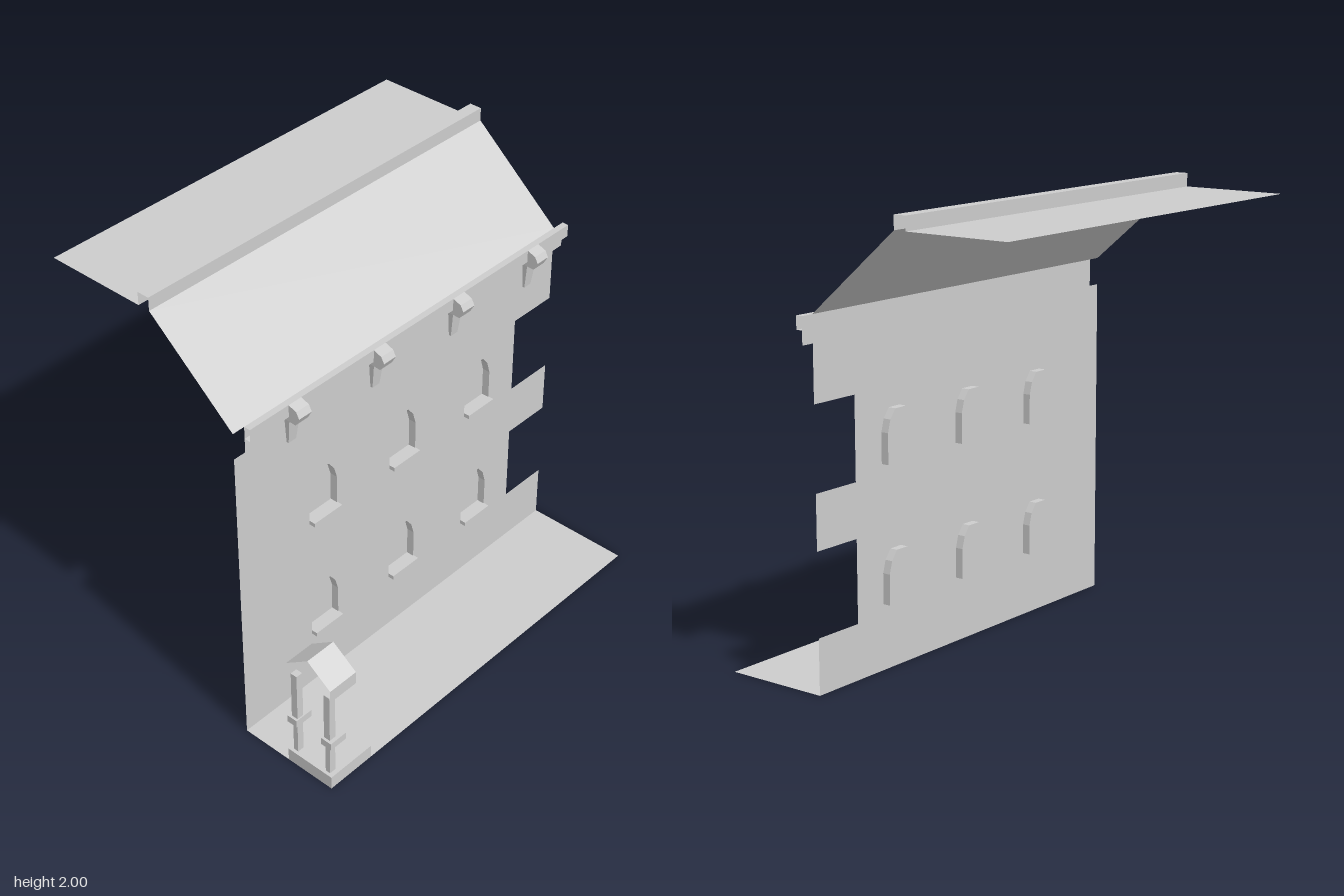
import * as THREE from 'three';

const stone = new THREE.MeshStandardMaterial({ color: 0xcccccc, side: THREE.DoubleSide });
stone.name = 'paleGrey';

const WALL_X = 0.24, FRONT = 1, BACK = -0.94;

function add(parent, name, geometry) {
  const mesh = new THREE.Mesh(geometry, stone);
  mesh.name = name;
  parent.add(mesh);
  return mesh;
}

function box(parent, name, x0, x1, y0, y1, z0, z1) {
  const g = new THREE.BoxGeometry(x1 - x0, y1 - y0, z1 - z0);
  g.translate((x0 + x1) / 2, (y0 + y1) / 2, (z0 + z1) / 2);
  return add(parent, name, g);
}

// Open ribbon: sweeps a polyline in x,y from z0 to z1, flat faces
function ribbon(points, z0, z1) {
  const pos = [];
  for (let i = 0; i < points.length - 1; i++) {
    const [ax, ay] = points[i], [bx, by] = points[i + 1];
    pos.push(ax, ay, z0, ax, ay, z1, bx, by, z1);
    pos.push(ax, ay, z0, bx, by, z1, bx, by, z0);
  }
  const g = new THREE.BufferGeometry();
  g.setAttribute('position', new THREE.Float32BufferAttribute(pos, 3));
  g.computeVertexNormals();
  return g;
}

const toVectors = (pts) => pts.map(([x, y]) => new THREE.Vector2(x, y));

// Turns a drawing in (-z, y) into the wall plane, its depth running along +x
const ontoWall = (g) => g.rotateY(Math.PI / 2).translate(WALL_X, 0, 0);

// Arched window outline around z, with its base at y
function arch(z, y) {
  const half = [[0.082, 0], [0.082, 0.135], [0.066, 0.19], [0.034, 0.232]];
  const left = half.map(([s, h]) => [-s, h]).reverse();
  return [...half, ...left].map(([s, h]) => [s - z, y + h]);
}

// Bracket under the gutter: chunky head and tapering tail
function bracket(z) {
  const group = new THREE.Group();
  group.name = 'gutterBracket';
  const head = new THREE.Shape(toVectors([
    [0.24, 1.5], [0.304, 1.497], [0.325, 1.535], [0.31, 1.563], [0.27, 1.577], [0.24, 1.577],
  ]));
  add(group, 'bracketHead', new THREE.ExtrudeGeometry(head, { depth: 0.07, bevelEnabled: false })
    .translate(0, 0, -0.035));
  const tail = new THREE.BoxGeometry(0.027, 0.125, 0.06).translate(0.2535, 1.4375, 0);
  const p = tail.attributes.position;
  for (let i = 0; i < p.count; i++) {
    if (p.getY(i) < 1.44) {
      p.setZ(i, p.getZ(i) * 0.7);
      if (p.getX(i) > 0.25) p.setX(i, 0.251);
    }
  }
  tail.computeVertexNormals();
  add(group, 'bracketTail', tail);
  group.position.z = z;
  return group;
}

// Small gabled porch on two posts
function porch() {
  const group = new THREE.Group();
  group.name = 'porch';
  box(group, 'porchBase', 0.484, 0.725, 0, 0.063, 0.76, 1);
  const gable = [[0.725, 0.49], [0.725, 0.55], [0.603, 0.637], [0.484, 0.55], [0.484, 0.49]];
  add(group, 'porchRoof', ribbon(gable, 0.85, 1));
  add(group, 'porchGable', new THREE.ShapeGeometry(new THREE.Shape(toVectors(gable)))
    .rotateY(0).translate(0, 0, 0.85));
  [[0.513, 0.484, 0.535], [0.692, 0.67, 0.725]].forEach(([x, c0, c1]) => {
    box(group, 'lowerPost', x - 0.012, x + 0.012, 0.063, 0.23, 0.953, 0.985);
    box(group, 'upperPost', x - 0.016, x + 0.016, 0.25, 0.492, 0.955, 0.988);
    box(group, 'postCollar', c0, c1, 0.222, 0.256, 0.912, 1);
  });
  return group;
}

export function createModel() {
  const model = new THREE.Group();
  model.name = 'buildingFacade';

  // Pavement
  add(model, 'pavement', ribbon([[0.725, 0], [WALL_X, 0]], BACK, FRONT));

  // Wall with a toothed back edge and a shifted top course
  const wall = new THREE.Shape(toVectors([
    [-1, 0], [0.94, 0], [0.94, 0.245], [0.7, 0.245], [0.7, 0.61], [0.94, 0.61],
    [0.94, 0.85], [0.7, 0.85], [0.7, 1.215], [0.94, 1.215], [0.94, 1.46],
    [1, 1.46], [1, 1.577], [-0.94, 1.577], [-0.94, 1.455], [-1, 1.455],
  ]));

  // Recessed arched windows with sills
  for (const y of [0.29, 0.895]) {
    for (const z of [0.515, 0.03, -0.455]) {
      const outline = arch(z, y);
      wall.holes.push(new THREE.Path(toVectors(outline)));
      const win = new THREE.Group();
      win.name = 'window';
      add(win, 'windowReveal', ontoWall(ribbon([...outline, outline[0]], -0.036, 0)));
      add(win, 'windowPanel', ontoWall(
        new THREE.ShapeGeometry(new THREE.Shape(toVectors(outline))).translate(0, 0, -0.036)));
      box(win, 'windowSill', WALL_X, 0.269, y - 0.015, y + 0.004, z - 0.082, z + 0.082);
      model.add(win);
    }
  }
  add(model, 'wall', ontoWall(new THREE.ShapeGeometry(wall)));

  // Gutter band and its brackets
  add(model, 'gutterBand', ribbon(
    [[WALL_X, 1.52], [0.27, 1.52], [0.27, 1.577], [WALL_X, 1.577]], -1, 0.94));
  for (let i = 0; i < 4; i++) model.add(bracket(0.695 - i * 0.485));

  // Roof: slope, raised ridge and flat deck, open at the ends
  add(model, 'roofSlope', ribbon([[WALL_X, 1.577], [-0.185, 1.94]], BACK, FRONT));
  add(model, 'roofRidge', ribbon(
    [[-0.185, 1.94], [-0.185, 2], [-0.243, 2], [-0.243, 1.94]], BACK, FRONT));
  add(model, 'roofDeck', ribbon([[-0.243, 1.94], [-0.725, 1.94]], BACK, FRONT));

  model.add(porch());
  return model;
}
